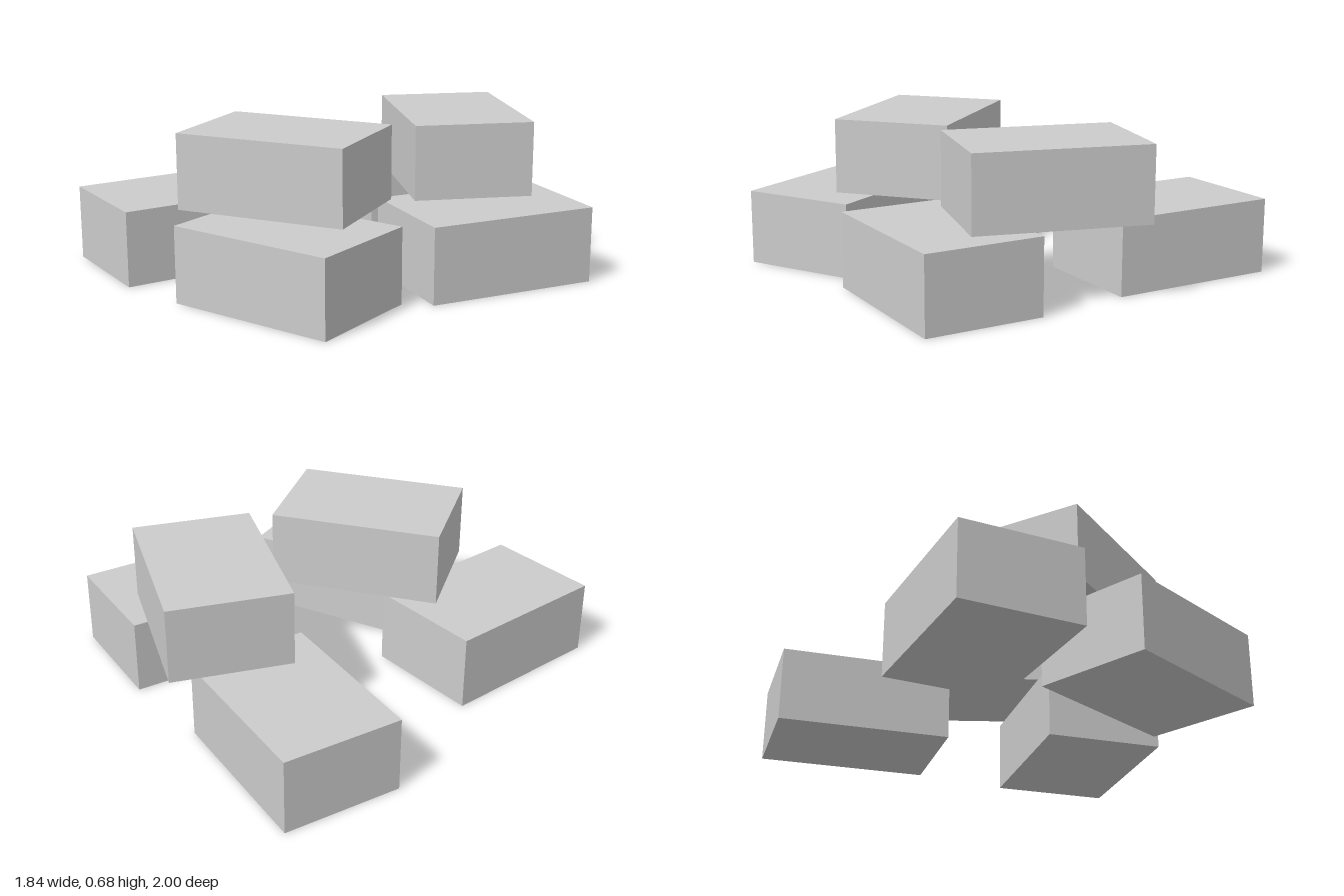
import * as THREE from 'three';

const LENGTH = 0.776, HEIGHT = 0.338, DEPTH = 0.537;

// name, centre x, centre z, layer, turn in degrees
const BLOCKS = [
  ['lowerBlockBackRight', -0.475, -0.64, 0, -15],
  ['lowerBlockBackLeft', 0.56, -0.305, 0, 75],
  ['lowerBlockFrontRight', -0.52, 0.578, 0, 83],
  ['lowerBlockFrontLeft', 0.315, 0.59, 0, 15],
  ['upperBlockBack', 0.145, -0.515, 1, -30],
  ['upperBlockFront', 0.031, 0.385, 1, 27],
];

export function createModel() {
  const group = new THREE.Group();
  group.name = 'blockPile';
  const material = new THREE.MeshStandardMaterial({ color: 0xcccccc });
  const geometry = new THREE.BoxGeometry(LENGTH, HEIGHT, DEPTH);

  // Four blocks on the ground, two resting across them
  for (const [name, x, z, layer, turn] of BLOCKS) {
    const block = new THREE.Mesh(geometry, material);
    block.name = name;
    block.position.set(x, HEIGHT * (layer + 0.5), z);
    block.rotation.y = THREE.MathUtils.degToRad(turn);
    group.add(block);
  }
  return group;
}
